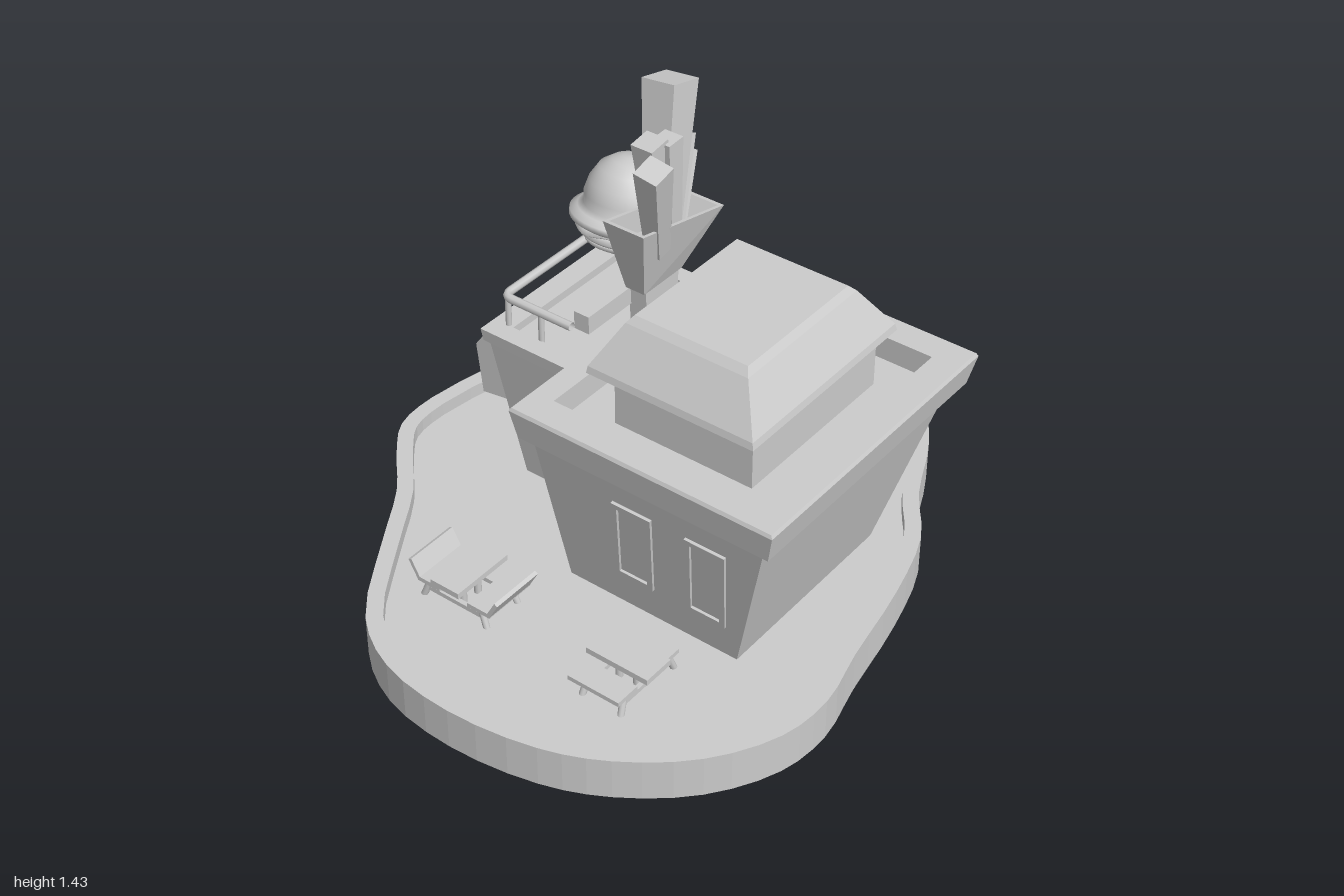
import * as THREE from 'three';

const mat = new THREE.MeshStandardMaterial({ color: 0xcccccc, flatShading: true, side: THREE.DoubleSide });
const smooth = new THREE.MeshStandardMaterial({ color: 0xcccccc, side: THREE.DoubleSide });
const FLOOR = 0.088;

function add(parent, name, geo, x = 0, y = 0, z = 0, material = mat) {
  const m = new THREE.Mesh(geo, material);
  m.name = name;
  m.position.set(x, y, z);
  parent.add(m);
  return m;
}

// Joins loops of points [x, y, z] that run counter-clockwise seen from above.
function skin(rings, capped) {
  const pos = [];
  const quad = (a, b, c, d) => pos.push(...a, ...b, ...c, ...a, ...c, ...d);
  for (let i = 0; i + 1 < rings.length; i++) {
    const a = rings[i], b = rings[i + 1], n = a.length;
    for (let k = 0; k < n; k++) quad(a[k], a[(k + 1) % n], b[(k + 1) % n], b[k]);
  }
  if (capped) {
    quad(...rings[0].slice().reverse());
    quad(...rings[rings.length - 1]);
  }
  const g = new THREE.BufferGeometry();
  g.setAttribute('position', new THREE.Float32BufferAttribute(pos, 3));
  g.computeVertexNormals();
  return g;
}

// Stacks rectangles [x0, x1, z0, z1, y] into a closed faceted solid.
const loft = sections => skin(sections.map(([x0, x1, z0, z1, y]) =>
  [[x0, y, z1], [x1, y, z1], [x1, y, z0], [x0, y, z0]]), true);

// Bar between two points: four-sided or round, optionally narrower at its start.
function strut(parent, name, a, b, w, round = false, taper = 1) {
  const A = new THREE.Vector3(...a), B = new THREE.Vector3(...b);
  const dir = B.clone().sub(A), len = dir.length(), r = round ? w : w * 0.707;
  const geo = new THREE.CylinderGeometry(r, r * taper, len, round ? 10 : 4);
  if (!round) geo.rotateY(Math.PI / 4);
  const m = add(parent, name, geo, 0, 0, 0, round ? smooth : mat);
  m.position.copy(A).add(B).multiplyScalar(0.5);
  m.quaternion.setFromUnitVectors(new THREE.Vector3(0, 1, 0), dir.normalize());
}

// Rectangular frame standing in the xy plane, centred at its origin.
function frame(w, h, t, depth) {
  const rect = (a, b) => [[-a, -b], [a, -b], [a, b], [-a, b]].map(p => new THREE.Vector2(...p));
  const s = new THREE.Shape(rect(w / 2, h / 2));
  s.holes.push(new THREE.Path(rect(w / 2 - t, h / 2 - t).reverse()));
  return new THREE.ExtrudeGeometry(s, { depth, bevelEnabled: false });
}

// Blob-shaped ground: hollow shell with a raised rim and a sunken floor
function ground(root) {
  const pts = [[-0.03, -0.845], [-0.18, -0.83], [-0.29, -0.75], [-0.42, -0.63], [-0.61, -0.51], [-0.87, -0.33],
    [-0.97, -0.16], [-1, 0.08], [-0.96, 0.35], [-0.88, 0.53], [-0.73, 0.71], [-0.54, 0.82], [-0.37, 0.84],
    [-0.18, 0.8], [0.1, 0.75], [0.33, 0.68], [0.49, 0.57], [0.7, 0.47], [0.86, 0.35], [0.955, 0.2],
    [1, -0.05], [0.965, -0.28], [0.89, -0.45], [0.81, -0.57], [0.73, -0.645], [0.59, -0.72], [0.35, -0.775]];
  const curve = new THREE.CatmullRomCurve3(pts.map(([x, z]) => new THREE.Vector3(x, 0, z)), true);
  const N = 81;
  const ring = (inset, y) => Array.from({ length: N }, (_, i) => {
    const p = curve.getPoint(i / N), t = curve.getTangent(i / N);
    return [p.x + t.z * inset, y, p.z - t.x * inset];
  });
  add(root, 'groundRim', skin([ring(0, 0), ring(0, 0.13), ring(0.048, 0.13), ring(0.048, FLOOR)], false));
  const floor = new THREE.Shape(ring(0.048, 0).map(([x, , z]) => new THREE.Vector2(x, -z)));
  add(root, 'groundFloor', new THREE.ShapeGeometry(floor), 0, FLOOR, 0).rotation.x = -Math.PI / 2;
}

function building(root) {
  add(root, 'mainBuilding', loft([[-0.35, 0.29, -0.035, 0.535, FLOOR - 0.006], [-0.46, 0.41, -0.07, 0.69, 0.64]]));
  add(root, 'mainParapet', loft([[-0.49, 0.435, -0.09, 0.72, 0.63], [-0.505, 0.453, -0.105, 0.74, 0.72],
    [-0.5, 0.448, -0.1, 0.735, 0.73], [-0.41, 0.36, -0.03, 0.65, 0.73], [-0.41, 0.36, -0.03, 0.65, 0.655]]));
  add(root, 'roofRoom', loft([[-0.31, 0.25, 0.095, 0.54, 0.65], [-0.31, 0.25, 0.095, 0.54, 0.84]]));
  add(root, 'roofCap', loft([[-0.36, 0.295, 0.04, 0.575, 0.825], [-0.355, 0.29, 0.042, 0.57, 0.845],
    [-0.275, 0.21, 0.105, 0.495, 0.965], [-0.255, 0.19, 0.12, 0.48, 0.985]]));

  // Rear wing with its own roof edge
  add(root, 'rearWing', loft([[-0.08, 0.29, -0.425, -0.045, FLOOR - 0.006], [-0.15, 0.4, -0.49, -0.065, 0.59]]));
  add(root, 'wingParapet', loft([[-0.165, 0.41, -0.495, -0.065, 0.58], [-0.17, 0.415, -0.5, -0.065, 0.62],
    [-0.11, 0.36, -0.43, -0.09, 0.62], [-0.11, 0.36, -0.43, -0.09, 0.595]]));

  // Handrail around the wing roof
  const path = new THREE.CurvePath();
  const v = (x, z) => new THREE.Vector3(x, 0.712, z);
  const L = -0.105, R = 0.375, B = -0.465, c = 0.03;
  path.add(new THREE.LineCurve3(v(L, -0.22), v(L, B + c)));
  path.add(new THREE.QuadraticBezierCurve3(v(L, B + c), v(L, B), v(L + c, B)));
  path.add(new THREE.LineCurve3(v(L + c, B), v(R - c, B)));
  path.add(new THREE.QuadraticBezierCurve3(v(R - c, B), v(R, B), v(R, B + c)));
  path.add(new THREE.LineCurve3(v(R, B + c), v(R, -0.22)));
  add(root, 'handrail', new THREE.TubeGeometry(path, 90, 0.013, 8), 0, 0, 0, smooth);
  for (const x of [L, R]) for (const z of [-0.33, -0.45])
    strut(root, 'railPost', [x, 0.6, z], [x, 0.71, z], 0.009, true);

  // Nearly flush slanted windows on the side wall
  for (const z of [0.23, 0.47]) {
    const win = new THREE.Group();
    win.name = 'window';
    win.position.set(-0.402, 0.365, z);
    win.rotation.z = 0.197;
    const geo = frame(0.13, 0.31, 0.018, 0.012);
    geo.applyMatrix4(new THREE.Matrix4().makeShear(0, 0, 0.12, 0, 0, 0));
    add(win, 'windowFrame', geo).rotation.y = -Math.PI / 2;
    root.add(win);
  }

  // Door on the side of the wing
  const door = new THREE.Group();
  door.name = 'door';
  door.position.set(-0.1, 0.257, -0.185);
  door.rotation.z = 0.137;
  add(door, 'doorFrame', frame(0.19, 0.335, 0.025, 0.02)).rotation.y = -Math.PI / 2;
  add(door, 'doorInnerFrame', frame(0.14, 0.285, 0.02, 0.011)).rotation.y = -Math.PI / 2;
  root.add(door);

  // Hanging sign behind the wing
  const board = new THREE.Shape([[-0.515, 0.49], [-0.605, 0.483], [-0.65, 0.42], [-0.63, 0.255], [-0.495, 0.275]]
    .map(([z, y]) => new THREE.Vector2(-z, y)));
  const sign = new THREE.ExtrudeGeometry(board, { depth: 0.03, bevelEnabled: false });
  add(root, 'hangingSign', sign, -0.03, 0, 0).rotation.y = Math.PI / 2;
  strut(root, 'signBracket', [-0.015, 0.465, -0.44], [-0.015, 0.455, -0.53], 0.025);
  strut(root, 'signBracket', [-0.015, 0.325, -0.42], [-0.015, 0.315, -0.52], 0.025);
}

function foodSign(root) {
  // Open carton with a sloping lip, on a short mount
  const carton = loft([[-0.03, 0.135, -0.088, -0.025, 0.86], [-0.11, 0.245, -0.1, 0.035, 1.07],
    [-0.095, 0.23, -0.09, 0.025, 1.07], [-0.065, 0.19, -0.085, 0.01, 1.0]]);
  const p = carton.attributes.position;
  for (let i = 0; i < p.count; i++) if (p.getY(i) > 0.9) p.setY(i, p.getY(i) - (p.getX(i) - 0.07) * 0.22);
  carton.computeVertexNormals();
  add(root, 'carton', carton);
  add(root, 'cartonMount', loft([[-0.01, 0.115, -0.085, -0.03, 0.65], [-0.02, 0.125, -0.085, -0.027, 0.865]]));

  // Fries, flaring towards the tip: base, tip, tip width
  for (const [a, b, w] of [
    [[0.01, 0.99, -0.01], [-0.08, 1.305, 0.045], 0.075],
    [[0.05, 0.98, -0.03], [0.0, 1.325, -0.03], 0.07],
    [[0.07, 0.98, -0.01], [0.05, 1.32, -0.01], 0.06],
    [[0.08, 0.98, -0.05], [0.18, 1.41, -0.1], 0.108],
    [[0.12, 0.97, -0.05], [0.235, 1.21, -0.12], 0.075],
    [[0.14, 0.97, -0.05], [0.275, 1.135, -0.13], 0.06],
  ]) strut(root, 'fry', a, b, w, false, 0.65);

  // Beam carrying the burger
  add(root, 'signBeam', new THREE.BoxGeometry(0.42, 0.055, 0.05), 0.01, 0.83, -0.105);
  strut(root, 'burgerSupport', [0.14, 0.83, -0.1], [0.14, 0.88, -0.23], 0.045);

  // Burger leaning to one side
  const burger = new THREE.Group();
  burger.name = 'burger';
  burger.position.set(0.135, 0.845, -0.23);
  burger.rotation.z = -0.2;
  const lathe = (name, pts, wave = 0) => {
    const g = new THREE.LatheGeometry(pts.map(q => new THREE.Vector2(...q)), 40);
    const q = g.attributes.position;
    for (let i = 0; i < q.count; i++) {
      const a = Math.atan2(q.getZ(i), q.getX(i)), r = Math.hypot(q.getX(i), q.getZ(i));
      q.setY(i, q.getY(i) + wave * Math.sin(a * 5) * r / 0.15);
    }
    g.computeVertexNormals();
    add(burger, name, g, 0, 0, 0, smooth);
  };
  lathe('bottomBun', [[0, 0.005], [0.08, 0.01], [0.11, 0.025], [0.115, 0.04], [0, 0.045]]);
  lathe('patty', [[0, 0.04], [0.12, 0.042], [0.132, 0.052], [0.125, 0.066], [0, 0.068]]);
  lathe('lettuce', [[0, 0.065], [0.13, 0.064], [0.145, 0.072], [0.13, 0.08], [0, 0.082]], 0.008);
  lathe('topBun', [[0, 0.08], [0.14, 0.08], [0.16, 0.092], [0.16, 0.108], [0.14, 0.12], [0.124, 0.13],
    [0.127, 0.16], [0.117, 0.2], [0.094, 0.24], [0.06, 0.264], [0.03, 0.274], [0, 0.277]]);
  root.add(burger);
}

// Picnic table with two benches along its own x axis, with or without backrests
function table(root, x, z, turn, backs) {
  const t = new THREE.Group();
  t.name = 'picnicTable';
  t.position.set(x, 0, z);
  t.rotation.y = turn;
  add(t, 'tableTop', new THREE.BoxGeometry(0.205, 0.018, 0.1), 0, backs ? 0.19 : 0.175, 0);
  for (const s of [-1, 1]) {
    add(t, 'benchSeat', new THREE.BoxGeometry(0.17, 0.014, 0.08), 0.015, 0.138, s * 0.09);
    if (backs) add(t, 'benchBack', new THREE.BoxGeometry(0.17, 0.065, 0.012), 0.015, 0.165, s * 0.14).rotation.x = s * 0.5;
    strut(t, 'crossBar', [s * 0.06, 0.12, -0.1], [s * 0.06, 0.12, 0.1], 0.014);
    strut(t, 'tablePost', [s * 0.03, FLOOR - 0.006, 0], [s * 0.03, 0.175, 0], 0.011, true);
    for (const e of [-1, 1])
      strut(t, 'benchLeg', [e * 0.065, FLOOR - 0.006, s * 0.115], [e * 0.06, 0.135, s * 0.095], 0.01, true);
  }
  root.add(t);
}

export function createModel() {
  const root = new THREE.Group();
  root.name = 'burgerRestaurant';
  ground(root);
  building(root);
  foodSign(root);
  table(root, -0.6, -0.19, 0, true);
  table(root, -0.59, 0.355, Math.PI / 2, false);
  return root;
}
